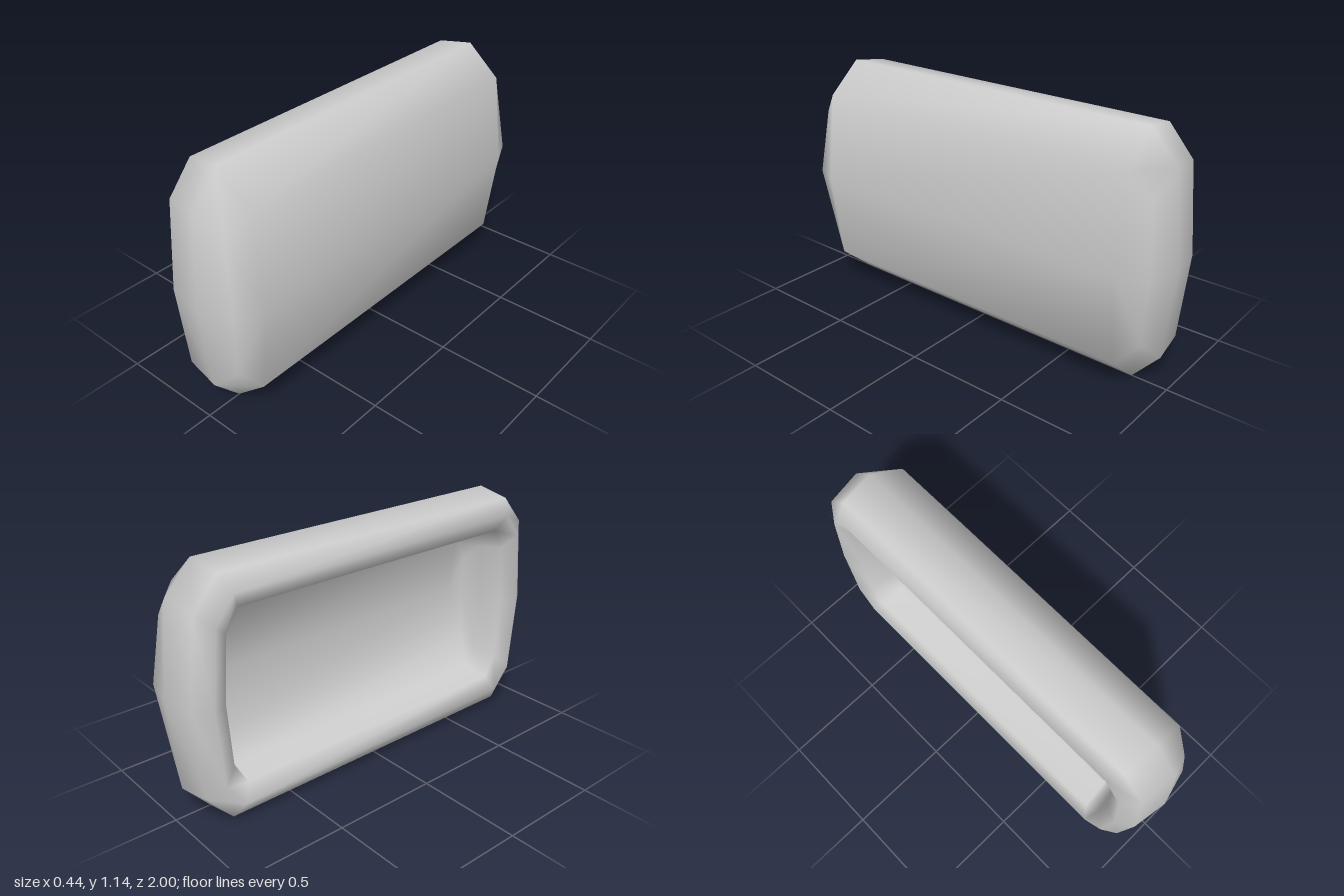
import * as THREE from 'three';
import { mergeVertices } from 'three/addons/utils/BufferGeometryUtils.js';

const MID_Y = 0.57;

// Each ring is a rounded oblong given by its top, corner and side points as [x, half height, half length].
const rings = [
  // Cavity: floor ridge, floor edge, wall, lip
  [[0.1, 0, 0.73], [0.1, 0, 0.73], [0.1, 0, 0.73]],
  [[0.06, 0.278, 0.73], [0.029, 0.206, 0.769], [0.06, 0, 0.783]],
  [[-0.06, 0.37, 0.73], [-0.06, 0.278, 0.783], [-0.06, 0, 0.8]],
  [[-0.18, 0.395, 0.743], [-0.18, 0.296, 0.804], [-0.18, 0, 0.825]],
  // Rim
  [[-0.22, 0.47, 0.78], [-0.22, 0.353, 0.87], [-0.22, 0, 0.9]],
  // Outside: rounded edge, wall, face edge, face ridge
  [[-0.168, 0.545, 0.818], [-0.168, 0.409, 0.936], [-0.168, 0, 0.975]],
  [[0, 0.57, 0.83], [0, 0.428, 0.957], [0, 0, 1]],
  [[0.165, 0.428, 0.83], [0.122, 0.317, 0.924], [0.165, 0, 0.957]],
  [[0.22, 0, 0.83], [0.22, 0, 0.83], [0.22, 0, 0.83]],
];

// Mirror the quarter into a full ring of ten points
function fullRing([top, corner, side]) {
  const flip = ([x, y, z]) => [x, -y, z];
  const end = [top, corner, side, flip(corner), flip(top)];
  const farEnd = end.map(([x, y, z]) => [x, -y, -z]);
  return [...end, ...farEnd].map(([x, y, z]) => [x, y + MID_Y, z]);
}

// Skin a row of closed rings with smooth normals
function loft(loops) {
  const n = loops[0].length;
  const index = [];
  for (let j = 0; j < loops.length - 1; j++) {
    for (let i = 0; i < n; i++) {
      const k = (i + 1) % n;
      const a = j * n + i, b = j * n + k, c = b + n, d = a + n;
      index.push(a, b, c, a, c, d);
    }
  }
  const geo = new THREE.BufferGeometry();
  geo.setAttribute('position', new THREE.Float32BufferAttribute(loops.flat(2), 3));
  geo.setIndex(index);
  const merged = mergeVertices(geo, 1e-4);
  merged.computeVertexNormals();
  return merged;
}

export function createModel() {
  const group = new THREE.Group();
  group.name = 'hollowCover';

  // Thick-walled shell, open on one long side
  const shell = new THREE.Mesh(loft(rings.map(fullRing)), new THREE.MeshStandardMaterial({ color: 0xcccccc }));
  shell.name = 'shell';
  group.add(shell);
  return group;
}
